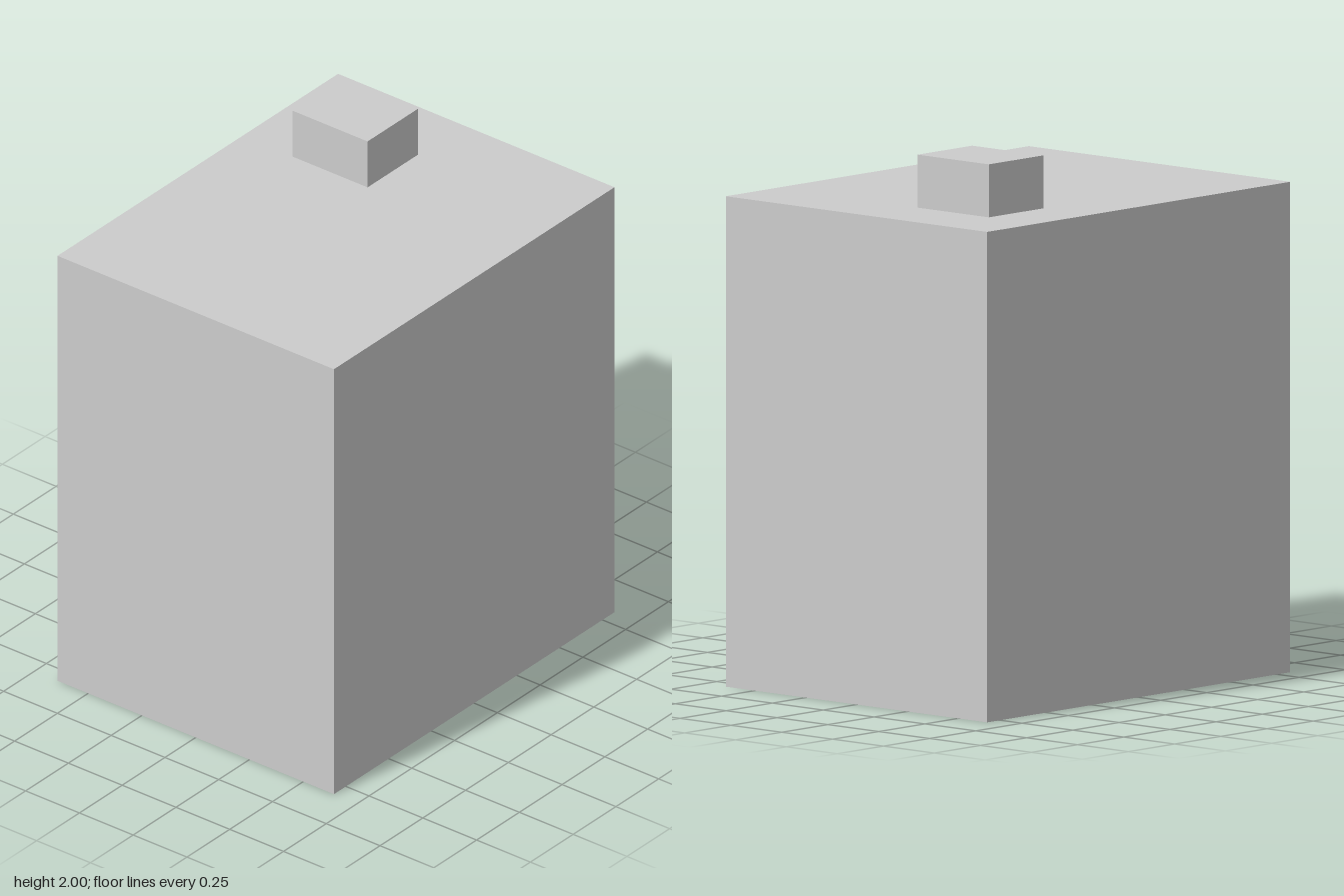
import * as THREE from 'three';

const WIDTH = 1.64, HEIGHT = 1.805, DEPTH = 1.285;

export function createModel() {
  const model = new THREE.Group();
  model.name = 'building';
  const grey = new THREE.MeshStandardMaterial({ color: 0xcccccc, side: THREE.DoubleSide });
  grey.name = 'plain grey';

  // Box spanning [x0, x1], [y0, y1], [z0, z1], optionally without its bottom
  function box(name, [x0, x1], [y0, y1], [z0, z1], openBottom = false) {
    const geometry = new THREE.BoxGeometry(x1 - x0, y1 - y0, z1 - z0);
    if (openBottom) {
      const index = Array.from(geometry.index.array);
      index.splice(18, 6);
      geometry.setIndex(index);
      geometry.clearGroups();
    }
    const mesh = new THREE.Mesh(geometry, grey);
    mesh.name = name;
    mesh.position.set((x0 + x1) / 2, (y0 + y1) / 2, (z0 + z1) / 2);
    model.add(mesh);
  }

  // Hollow walls and flat roof, open underneath
  box('walls', [-WIDTH / 2, WIDTH / 2], [0, HEIGHT], [-DEPTH / 2, DEPTH / 2], true);

  // Chimney on the roof, left of centre and towards the back
  box('chimney', [0.26, 0.555], [HEIGHT, 2], [-0.41, -0.06], true);

  // Blocks on the inner side of the front wall
  const wall = DEPTH / 2 - 0.002;
  box('centreBlock', [-0.105, 0.105], [0.29, 0.57], [wall - 0.06, wall]);
  box('longLedge', [-0.66, 0.66], [0.75, 0.95], [wall - 0.09, wall]);
  for (const side of [-1, 1]) {
    box(side < 0 ? 'rightBlock' : 'leftBlock', [side * 0.5 - 0.08, side * 0.5 + 0.08], [0.4, 0.56], [wall - 0.035, wall]);
  }

  return model;
}
